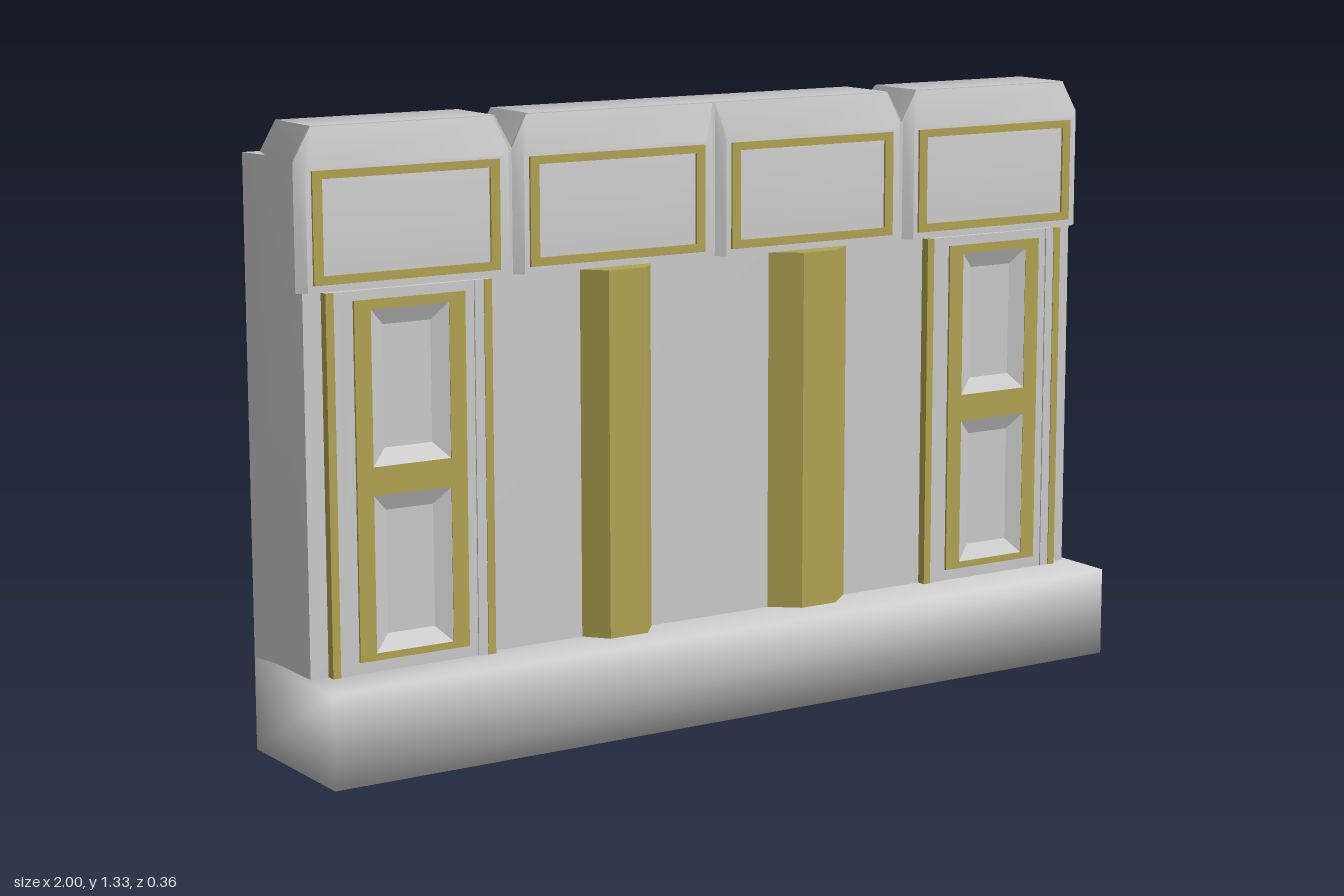
import * as THREE from 'three';
import { mergeVertices, toCreasedNormals } from 'three/addons/utils/BufferGeometryUtils.js';

const grey = new THREE.MeshStandardMaterial({ color: 0xcccccc });
const olive = new THREE.MeshStandardMaterial({ color: 0xb0a452 });

function add(parent, name, geometry, material) {
  const mesh = new THREE.Mesh(geometry, material);
  mesh.name = name;
  parent.add(mesh);
  return mesh;
}

const rect = (x0, y0, x1, y1) => [[x0, y0], [x1, y0], [x1, y1], [x0, y1]];

// Joins counter-clockwise outlines [z, points] into a skin and closes the last one
function loft(rings, crease = 0.9) {
  const n = rings[0][1].length;
  const position = rings.flatMap(([z, pts]) => pts.flatMap(([x, y]) => [x, y, z]));
  const index = [];
  for (let k = 0; k < rings.length - 1; k++) {
    for (let i = 0; i < n; i++) {
      const a = k * n + i, b = k * n + (i + 1) % n;
      index.push(a, b, b + n, a, b + n, a + n);
    }
  }
  const last = (rings.length - 1) * n;
  const outline = rings[rings.length - 1][1].map(([x, y]) => new THREE.Vector2(x, y));
  for (const face of THREE.ShapeUtils.triangulateShape(outline, [])) index.push(...face.map((i) => i + last));
  const geo = new THREE.BufferGeometry();
  geo.setAttribute('position', new THREE.Float32BufferAttribute(position, 3));
  geo.setIndex(index);
  return toCreasedNormals(geo, crease);
}

// Flat plate with rectangular holes, from z0 to z1
function plate(outer, holes, z0, z1) {
  const toPoints = (pts) => pts.map(([x, y]) => new THREE.Vector2(x, y));
  const shape = new THREE.Shape(toPoints(outer));
  for (const h of holes) shape.holes.push(new THREE.Path(toPoints(h)));
  return new THREE.ExtrudeGeometry(shape, { depth: z1 - z0, bevelEnabled: false }).translate(0, 0, z0);
}

// Wall outline: straight sides and a top edge with two V notches
function wallOutline(side, shoulder, top, cut) {
  return [
    [-side, 0.2], [side, 0.2], [side, shoulder], [0.96, top],
    [0.5 + cut, top], [0.5, shoulder], [0.5 - cut, top],
    [-0.5 + cut, top], [-0.5, shoulder], [-0.5 - cut, top],
    [-0.96, top], [-side, shoulder],
  ];
}

function buildDoor(side) {
  const door = new THREE.Group();
  door.name = side > 0 ? 'leftDoor' : 'rightDoor';
  // Everything is laid out around the door's own centre line
  const openings = [rect(-0.09, 0.24, 0.09, 0.57), rect(-0.09, 0.63, 0.09, 0.955)];
  add(door, 'doorFrame', plate(rect(-0.19, 0.2, 0.19, 0.995), openings, 0.04, 0.066), grey);
  add(door, 'doorPanel', plate(rect(-0.128, 0.225, 0.128, 0.975), openings, 0.064, 0.071), olive);
  for (const [p, , q] of openings) {
    const inner = rect(p[0] + 0.035, p[1] + 0.035, q[0] - 0.035, q[1] - 0.035);
    add(door, 'doorRecess', loft([[0.07, rect(...p, ...q)], [0.054, inner]], 0.2), grey);
  }
  for (const s of [-1, 1]) {
    const strip = new THREE.BoxGeometry(0.018, 0.795, 0.03).translate(s * 0.182, 0.5975, 0.056);
    add(door, 'doorTrim', strip, olive);
    const rib = new THREE.BoxGeometry(0.022, 0.795, 0.028).translate(s * 0.162, 0.5975, 0.055);
    add(door, 'doorRib', rib, grey);
  }
  door.position.x = side * 0.753;
  return door;
}

function buildSignPanel(x0, x1, cutLeft, cutRight) {
  const panel = new THREE.Group();
  panel.name = 'upperPanel';
  // Raised block with sloping top and ends
  const outline = (l, r, cl, cr, shoulder, top) =>
    [[l, 0.997], [r, 0.997], [r, shoulder], [r - cr, top], [l + cl, top], [l, shoulder]];
  add(panel, 'panelBlock', loft([
    [0.045, outline(x0, x1, cutLeft, cutRight, 1.26, 1.328)],
    [0.05, outline(x0, x1, cutLeft, cutRight, 1.26, 1.328)],
    [0.066, outline(x0 + 0.02, x1 - 0.02, 0.005, 0.005, 1.245, 1.25)],
  ], 0.6), grey);
  // Thin border around the sunken field
  const l = x0 + 0.032, r = x1 - 0.032;
  add(panel, 'panelBorder', plate(rect(l, 1.012, r, 1.242), [rect(l + 0.022, 1.03, r - 0.022, 1.225)], 0.06, 0.071), olive);
  return panel;
}

export function createModel() {
  const model = new THREE.Group();

  // Plinth with softly shaded corners
  let plinth = new THREE.BoxGeometry(2, 0.2, 0.36).translate(0, 0.1, 0);
  plinth.deleteAttribute('normal');
  plinth.deleteAttribute('uv');
  plinth = mergeVertices(plinth);
  plinth.computeVertexNormals();
  add(model, 'plinth', plinth, grey);

  // Wall flares out to the back plate
  add(model, 'wall', loft([
    [-0.18, wallOutline(1, 1.26, 1.26, 0.04)],
    [-0.105, wallOutline(0.985, 1.26, 1.33, 0.04)],
    [0.05, wallOutline(0.985, 1.26, 1.33, 0.04)],
  ]), grey);
  const back = new THREE.PlaneGeometry(2, 1.06).rotateY(Math.PI).translate(0, 0.73, -0.18);
  add(model, 'backPlate', back, olive);

  // Upper band of four panels; notches only between the outer and middle ones
  model.add(buildSignPanel(-1, -0.508, 0.04, 0.035));
  model.add(buildSignPanel(-0.5, -0.004, 0.035, 0));
  model.add(buildSignPanel(0.002, 0.495, 0, 0.035));
  model.add(buildSignPanel(0.504, 1, 0.035, 0.04));

  // Two pilasters with a trapezoid section
  for (const [x, half, face] of [[-0.25, 0.092, 0.047], [0.247, 0.11, 0.045]]) {
    const section = new THREE.Shape([
      new THREE.Vector2(-half, -0.045), new THREE.Vector2(half, -0.045),
      new THREE.Vector2(face, -0.1), new THREE.Vector2(-face, -0.1),
    ]);
    const geo = new THREE.ExtrudeGeometry(section, { depth: 0.795, bevelEnabled: false });
    geo.rotateX(-Math.PI / 2).translate(x, 0.2, 0);
    add(model, 'pilaster', geo, olive);
  }

  for (const side of [-1, 1]) model.add(buildDoor(side));
  return model;
}
